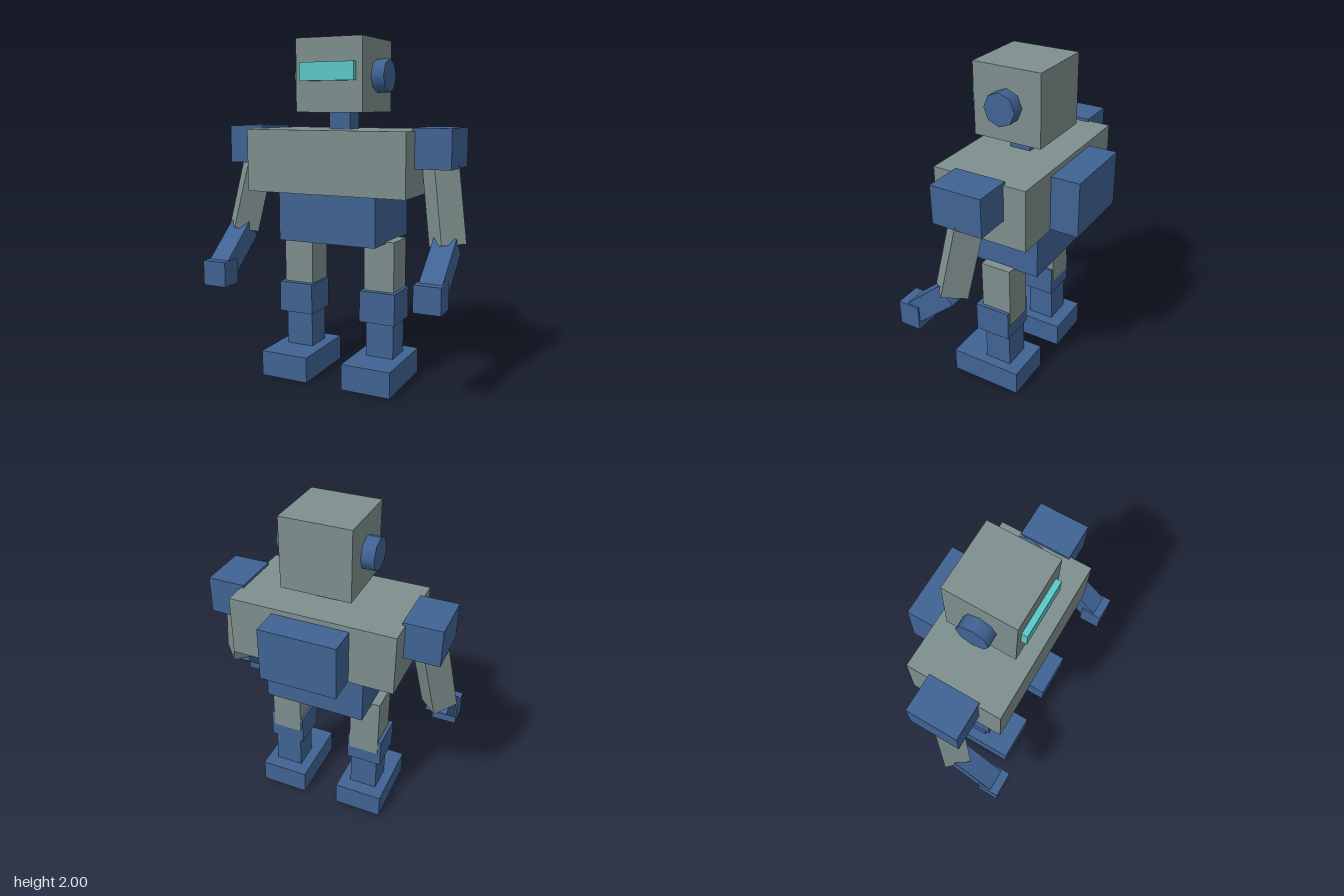
import * as THREE from 'three';

export function createModel() {
  const model = new THREE.Group();
  const material = (name, color) => {
    const m = new THREE.MeshStandardMaterial({ color });
    m.name = name;
    return m;
  };
  const grey = material('greyMetal', 0x7d8f8d);
  const blue = material('bluePaint', 0x406394);
  const teal = material('tealVisor', 0x5cc8c8);

  const add = (parent, name, geometry, mat) => {
    const mesh = new THREE.Mesh(geometry, mat);
    mesh.name = name;
    parent.add(mesh);
    return mesh;
  };

  // Box given by its minimum and maximum on each axis
  const box = (parent, name, mat, [x0, x1], [y0, y1], [z0, z1]) => {
    const mesh = add(parent, name, new THREE.BoxGeometry(x1 - x0, y1 - y0, z1 - z0), mat);
    mesh.position.set((x0 + x1) / 2, (y0 + y1) / 2, (z0 + z1) / 2);
    return mesh;
  };

  // Head and torso
  box(model, 'head', grey, [-0.208, 0.208], [1.585, 2], [-0.185, 0.23]);
  box(model, 'visor', teal, [-0.168, 0.168], [1.76, 1.863], [0.22, 0.263]);
  box(model, 'neck', blue, [-0.066, 0.066], [1.45, 1.6], [-0.037, 0.092]);
  box(model, 'chest', grey, [-0.495, 0.495], [1.125, 1.487], [-0.262, 0.308]);
  box(model, 'backpack', blue, [-0.23, 0.23], [1.13, 1.455], [-0.433, -0.24]);
  box(model, 'pelvis', blue, [-0.305, 0.305], [0.84, 1.13], [-0.224, 0.272]);

  for (const [side, s] of [['left', 1], ['right', -1]]) {
    const mx = (a, b) => (s > 0 ? [a, b] : [-b, -a]);

    // Ear disc
    const ear = add(model, side + 'Ear', new THREE.CylinderGeometry(0.095, 0.095, 0.1, 8), blue);
    ear.rotation.z = Math.PI / 2;
    ear.position.set(s * 0.234, 1.79, 0.022);

    // Arm: shoulder block, leaning diamond-section upper arm, bent forearm, hand
    const arm = new THREE.Group();
    arm.name = side + 'Arm';
    model.add(arm);
    box(arm, 'shoulder', blue, mx(0.477, 0.703), [1.28, 1.503], [-0.13, 0.175]);

    const top = new THREE.Vector3(s * 0.58, 1.39, 0.015);
    const elbow = new THREE.Vector3(s * 0.669, 0.858, 0.103);
    const palm = new THREE.Vector3(s * 0.667, 0.63, 0.367);
    const upperGeo = new THREE.CylinderGeometry(0.108, 0.108, top.distanceTo(elbow), 4).toNonIndexed();
    upperGeo.computeVertexNormals();
    const upperArm = add(arm, 'upperArm', upperGeo, grey);
    upperArm.position.copy(top).add(elbow).multiplyScalar(0.5);
    upperArm.quaternion.setFromUnitVectors(
      new THREE.Vector3(0, 1, 0), top.clone().sub(elbow).normalize());

    const dy = elbow.y - palm.y, dz = palm.z - elbow.z;
    const forearm = add(arm, 'forearm', new THREE.BoxGeometry(0.13, Math.hypot(dy, dz), 0.13), blue);
    forearm.position.set(s * 0.667, (elbow.y + palm.y) / 2, (elbow.z + palm.z) / 2);
    forearm.rotation.x = -Math.atan2(dz, dy);
    box(arm, 'hand', blue, mx(0.59, 0.743), [0.555, 0.705], [0.3, 0.432]);

    // Leg: the thigh just breaks through the back of the knee
    const leg = new THREE.Group();
    leg.name = side + 'Leg';
    model.add(leg);
    box(leg, 'thigh', grey, mx(0.171, 0.358), [0.46, 0.85], [-0.071, 0.119]);
    box(leg, 'knee', blue, mx(0.158, 0.378), [0.37, 0.555], [-0.067, 0.155]);
    box(leg, 'shin', blue, mx(0.181, 0.353), [0.14, 0.4], [-0.06, 0.109]);
    box(leg, 'foot', blue, mx(0.114, 0.416), [0, 0.153], [-0.145, 0.31]);
  }
  return model;
}
